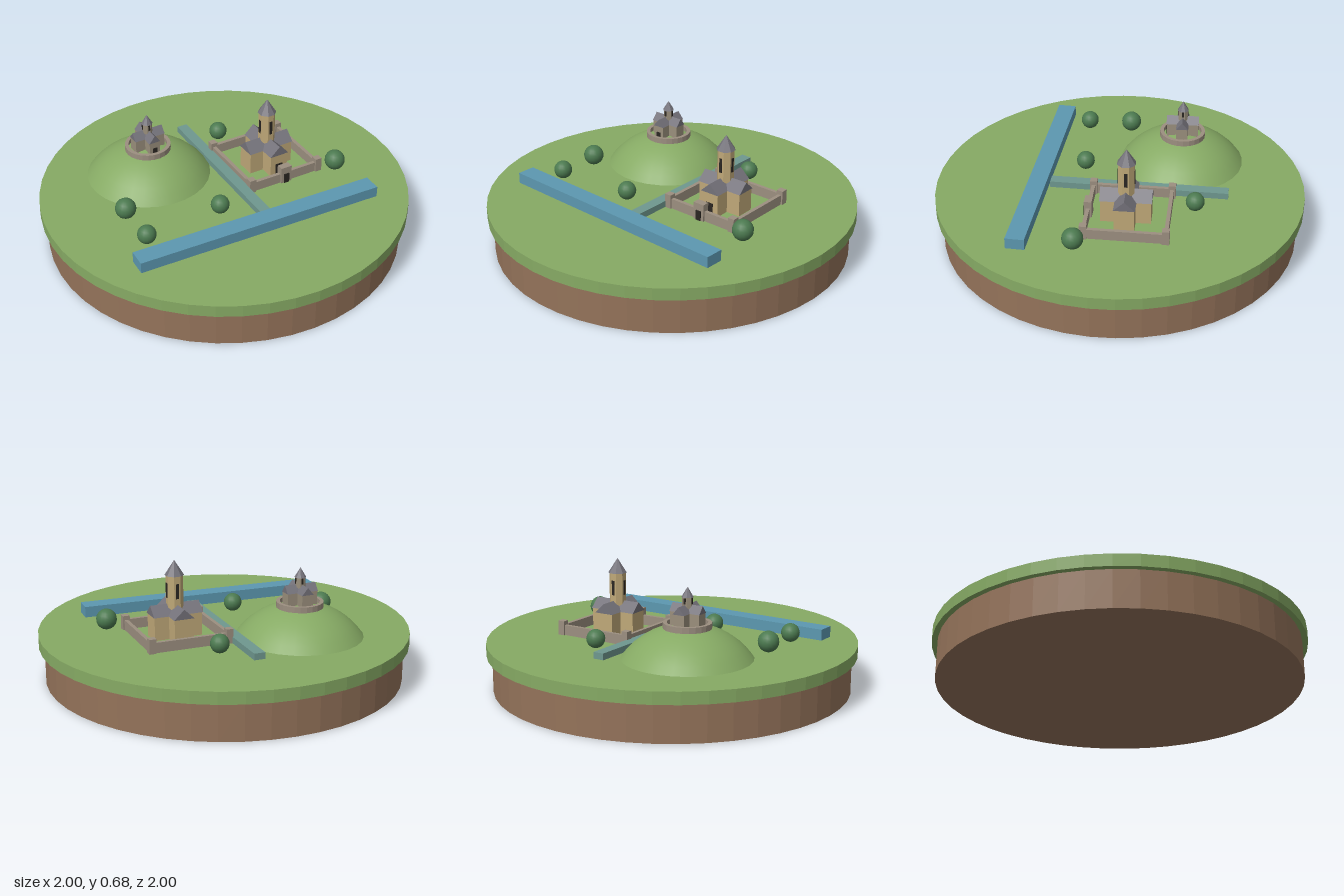
import * as THREE from 'three';

const mat = (name, color, flatShading = false) => {
  const m = new THREE.MeshStandardMaterial({ color, flatShading });
  m.name = name;
  return m;
};

export function createModel() {
  const earth = mat('earth', 0x94735a, true);
  const grass = mat('grass', 0x86aa64, true);
  const hillGrass = grass.clone();
  hillGrass.flatShading = false;
  hillGrass.name = 'grass smooth';
  const river = mat('river water', 0x5c98b0);
  const stream = mat('stream water', 0x6f988f);
  const wallStone = mat('wall stone', 0x9c8f80, true);
  const warmStone = mat('warm stone', 0xbfa878, true);
  const greyStone = mat('grey stone', 0x9a8f7c, true);
  const roof = mat('slate roof', 0x74727a, true);
  const dark = mat('dark opening', 0x2a2622);
  const leaf = mat('leaves', 0x4c7a50);

  const model = new THREE.Group();
  const GROUND = 0.265;
  const TURN = -0.34;

  const add = (parent, name, geometry, material, x = 0, y = 0, z = 0, ry = 0) => {
    const mesh = new THREE.Mesh(geometry, material);
    mesh.name = name;
    mesh.position.set(x, y, z);
    mesh.rotation.y = ry;
    parent.add(mesh);
    return mesh;
  };
  // Box standing on height y
  const block = (parent, name, w, h, d, material, x, y, z, ry = 0) =>
    add(parent, name, new THREE.BoxGeometry(w, h, d), material, x, y + h / 2, z, ry);

  // Round base
  add(model, 'earthBase', new THREE.CylinderGeometry(0.97, 0.97, 0.2, 48), earth, 0, 0.1, 0);
  add(model, 'grassDisc', new THREE.CylinderGeometry(1, 1, GROUND - 0.2, 48), grass, 0, (GROUND + 0.2) / 2, 0);

  // Hill: a spherical cap
  const hx = -0.17, hz = -0.4, capRadius = 0.34, capHeight = 0.175;
  const R = (capRadius ** 2 + capHeight ** 2) / (2 * capHeight);
  const edge = Math.asin(capRadius / R);
  const cap = [];
  for (let i = 0; i <= 8; i++) {
    const a = edge * (1 - i / 8);
    cap.push(new THREE.Vector2(R * Math.sin(a), R * Math.cos(a) - R + capHeight));
  }
  add(model, 'hill', new THREE.LatheGeometry(cap, 28), hillGrass, hx, GROUND, hz);

  // Water
  block(model, 'river', 1.385, 0.06, 0.1, river, -0.18, GROUND, 0.39, -0.392);
  block(model, 'stream', 0.06, 0.035, 0.964, stream, 0.087, GROUND, -0.085, -0.366);

  // Trees
  [[-0.64, 0.025, 0.05], [-0.555, -0.205, 0.056], [-0.205, 0.145, 0.05],
    [0.335, -0.325, 0.05], [0.515, 0.37, 0.056]].forEach(([x, z, r]) =>
    add(model, 'tree', new THREE.SphereGeometry(r, 16, 12), leaf, x, GROUND + r, z));

  // Gable roof prism running along z
  const gable = (width, height, length) => {
    const s = new THREE.Shape();
    s.moveTo(-width / 2, 0);
    s.lineTo(width / 2, 0);
    s.lineTo(0, height);
    s.closePath();
    return new THREE.ExtrudeGeometry(s, { depth: length, bevelEnabled: false }).translate(0, 0, -length / 2);
  };

  // Cross-plan church with a central eight-sided tower
  const church = (name, stone, p) => {
    const g = new THREE.Group();
    g.name = name;
    g.position.set(p.x, p.y, p.z);
    g.rotation.y = TURN;
    for (const ry of [0, Math.PI / 2]) {
      block(g, 'nave', p.width, p.eave, p.length, stone, 0, 0, 0, ry);
      add(g, 'naveRoof', gable(p.width * 1.08, p.ridge - p.eave, p.length * 1.03), roof, 0, p.eave, 0, ry);
    }
    const low = p.eave * 0.5;
    add(g, 'tower', new THREE.CylinderGeometry(p.radius, p.radius, p.top - low, 8), stone,
      0, (p.top + low) / 2, 0, Math.PI / 8);
    add(g, 'spire', new THREE.ConeGeometry(p.radius * 1.12, p.apex - p.top, 8), roof,
      0, (p.apex + p.top) / 2, 0, Math.PI / 8);
    // Slit windows on four tower faces
    const face = p.radius * Math.cos(Math.PI / 8);
    for (let i = 0; i < 4; i++) {
      const a = i * Math.PI / 2;
      block(g, 'towerWindow', p.radius * 0.36, p.slit, 0.006, dark,
        Math.sin(a) * face, p.slitY, Math.cos(a) * face, a);
    }
    block(g, 'door', p.width * 0.4, p.eave * 0.55, 0.008, dark, 0, 0, p.length / 2);
    model.add(g);
  };
  church('largeChurch', warmStone, {
    x: 0.315, y: GROUND, z: 0.042, width: 0.105, length: 0.265, eave: 0.125, ridge: 0.178,
    radius: 0.046, top: 0.33, apex: 0.41, slit: 0.08, slitY: 0.21,
  });
  church('hillChurch', greyStone, {
    x: hx, y: 0.425, z: hz, width: 0.062, length: 0.172, eave: 0.078, ridge: 0.118,
    radius: 0.028, top: 0.155, apex: 0.207, slit: 0.03, slitY: 0.122,
  });

  // Ring wall on the hilltop
  const ring = [[0.125, 0], [0.125, 0.035], [0.105, 0.035], [0.105, 0]].map(([x, y]) => new THREE.Vector2(x, y));
  add(model, 'ringWall', new THREE.LatheGeometry(ring, 24), wallStone, hx, 0.416, hz);

  // Square enclosure around the large church
  const yard = new THREE.Group();
  yard.name = 'enclosure';
  yard.position.set(0.317, GROUND, 0.03);
  yard.rotation.y = -0.355;
  const half = 0.211;
  for (let i = 0; i < 4; i++) {
    const a = i * Math.PI / 2, s = Math.sin(a), c = Math.cos(a);
    block(yard, 'yardWall', half * 2, 0.055, 0.02, wallStone, s * half, 0, c * half, a);
    block(yard, 'cornerPost', 0.038, 0.078, 0.038, wallStone, (s + c) * half, 0, (c - s) * half, a);
  }
  block(yard, 'gatehouse', 0.065, 0.095, 0.04, wallStone, 0, 0, half);
  block(yard, 'gateDoor', 0.032, 0.055, 0.008, dark, 0, 0, half + 0.021);
  model.add(yard);

  return model;
}
